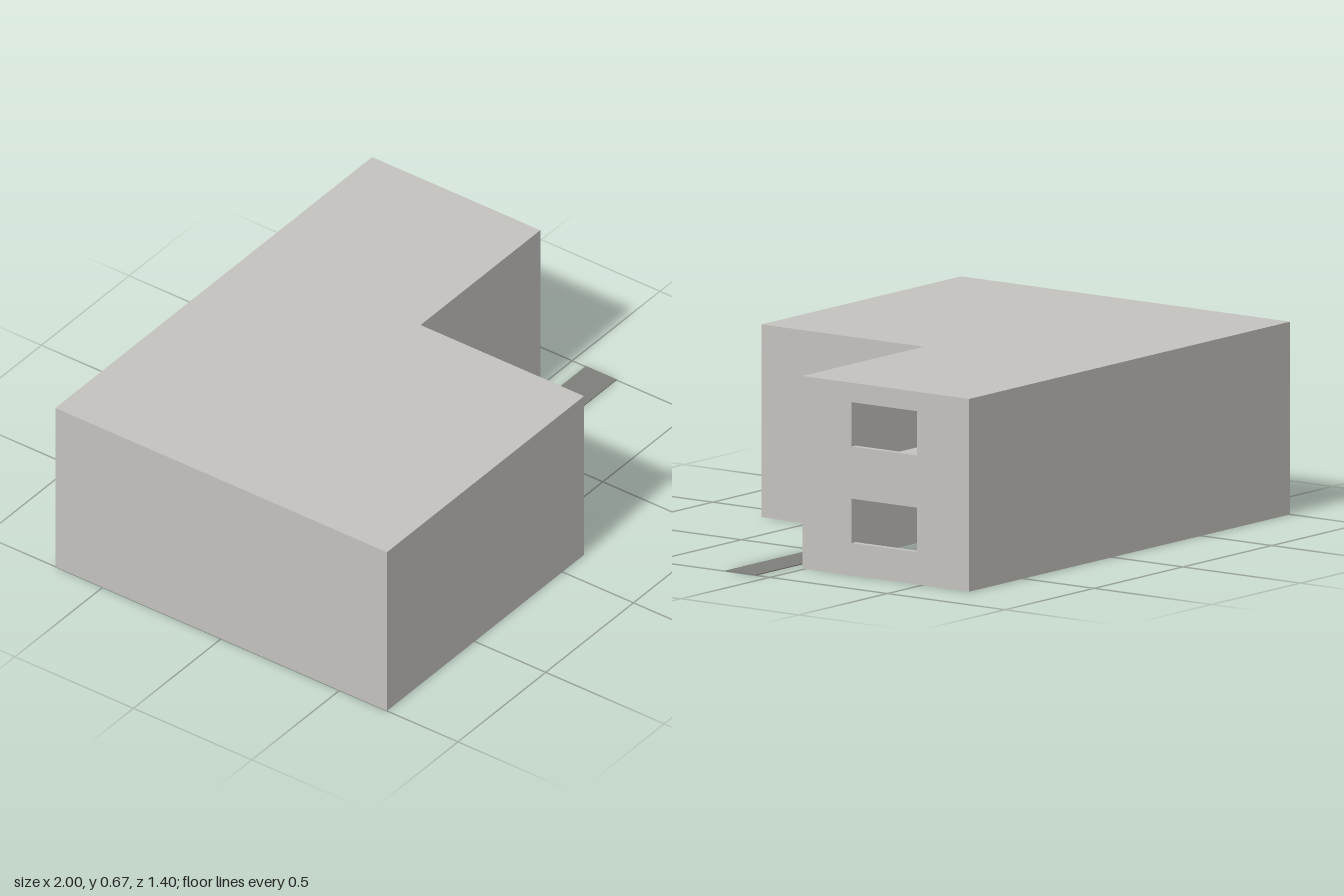
import * as THREE from 'three';

const H = 0.665, T = 0.022; // building height, wall thickness
const mat = (name, color, side = THREE.FrontSide) =>
  Object.assign(new THREE.MeshStandardMaterial({ color, side }), { name });

export function createModel() {
  const plaster = mat('plaster', 0xc4c2be);
  const paving = mat('paving', 0x7e7f7a);
  const darkTrim = mat('dark trim', 0x1c1c28);
  const model = new THREE.Group();
  model.name = 'house';

  const add = (name, geometry, material, parent = model) => {
    const mesh = new THREE.Mesh(geometry, material);
    mesh.name = name;
    parent.add(mesh);
    return mesh;
  };
  // Box given by its minimum and maximum corners
  const box = (name, [x0, y0, z0], [x1, y1, z1], material, parent) => {
    const g = new THREE.BoxGeometry(x1 - x0, y1 - y0, z1 - z0);
    g.translate((x0 + x1) / 2, (y0 + y1) / 2, (z0 + z1) / 2);
    return add(name, g, material, parent);
  };
  const polygon = (pts, Kind = THREE.Shape) => new Kind(pts.map(([a, b]) => new THREE.Vector2(a, b)));
  const rect = (a0, b0, a1, b1) => polygon([[a0, b0], [a1, b0], [a1, b1], [a0, b1]], THREE.Path);
  const extrude = (shape, depth) => new THREE.ExtrudeGeometry(shape, { depth, bevelEnabled: false });

  // L-shaped plan, drawn in (x, -z), inset by d from the outer faces
  const plan = (d) => [
    [-1 + d, -0.7 + d], [0.123 - d, -0.7 + d], [0.123 - d, -0.01 + d],
    [0.805 - d, -0.01 + d], [0.805 - d, 0.7 - d], [-1 + d, 0.7 - d],
  ];
  const slab = (name, y, thickness, inset, hole) => {
    const shape = polygon(plan(inset));
    if (hole) shape.holes.push(hole);
    const g = extrude(shape, thickness).rotateX(-Math.PI / 2);
    add(name, g.translate(0, y, 0), plaster);
  };
  slab('roof', H - T, T, 0);
  slab('upperFloor', 0.29, 0.04, T, rect(-0.425, -0.6, -0.13, -0.18)); // with stairwell

  // Solid outer walls
  const top = H - T;
  box('backWall', [-1, 0, -0.7], [0.805, top, -0.7 + T], plaster);
  box('frontWall', [-1, 0, 0.7 - T], [0.123, top, 0.7], plaster);
  box('rightWall', [-1, 0, -0.7 + T], [-1 + T, top, 0.7 - T], plaster);
  box('wingFrontWall', [0.123 - T, 0, 0.01 - T], [0.805, top, 0.01], plaster);

  // Walls with openings, drawn in (-z, y)
  const sideWall = (name, shape, xOuter) => {
    const g = extrude(shape, T).rotateY(Math.PI / 2);
    add(name, g.translate(xOuter - T, 0, 0), plaster);
  };
  const windowWall = polygon([[-0.01 + T, 0], [0.7 - T, 0], [0.7 - T, top], [-0.01 + T, top]]);
  windowWall.holes.push(rect(0.2, 0.112, 0.478, 0.265), rect(0.2, 0.445, 0.478, 0.598));
  sideWall('windowWall', windowWall, 0.805);
  sideWall('entranceWall', polygon([
    [-0.7 + T, 0], [-0.188, 0], [-0.188, 0.275], [-0.06, 0.275],
    [-0.06, 0], [-0.01, 0], [-0.01, top], [-0.7 + T, top],
  ]), 0.123);

  // Door frame lining the entrance
  const frame = new THREE.Group();
  frame.name = 'doorFrame';
  model.add(frame);
  const fx0 = 0.123 - T, fx1 = 0.1235;
  box('jambLeft', [fx0, 0, 0.182], [fx1, 0.275, 0.188], darkTrim, frame);
  box('jambRight', [fx0, 0, 0.06], [fx1, 0.275, 0.068], darkTrim, frame);
  box('lintel', [fx0, 0.268, 0.068], [fx1, 0.275, 0.182], darkTrim, frame);

  // Inner partition beside the stairwell
  box('partition', [-0.13, 0, 0.2], [-0.115, 0.29, 0.7 - T], plaster);

  // Entrance path
  box('path', [0.123, 0, 0.058], [1, 0.003, 0.188], paving);

  // Low console on the front wall
  box('console', [-0.89, 0.06, 0.61], [-0.47, 0.095, 0.7 - T], plaster);

  // Corner sofa: each section has a seat, a reclined back and four legs
  const sofaSection = (name, length, depth, x, z, turn) => {
    const s = new THREE.Group();
    s.name = name;
    const w = length / 2, d = depth / 2;
    box('seat', [-w, 0.07, -d], [w, 0.086, d], darkTrim, s);
    const back = box('backrest', [-w, 0, -0.012], [w, 0.115, 0.012], darkTrim, s);
    back.position.set(0, 0.078, -d + 0.02);
    back.rotation.x = -0.5;
    for (const sx of [-1, 1]) for (const sz of [-1, 1]) {
      const lx = sx * (w - 0.006), lz = sz * (d - 0.006);
      box('leg', [lx - 0.004, 0, lz - 0.004], [lx + 0.004, 0.07, lz + 0.004], darkTrim, s);
    }
    s.position.set(x, 0, z);
    s.rotation.y = turn;
    model.add(s);
  };
  sofaSection('mainSofa', 0.28, 0.14, -0.7, 0.13, 0);
  sofaSection('sideSofa', 0.18, 0.11, -0.87, 0.38, Math.PI / 2);

  return model;
}
